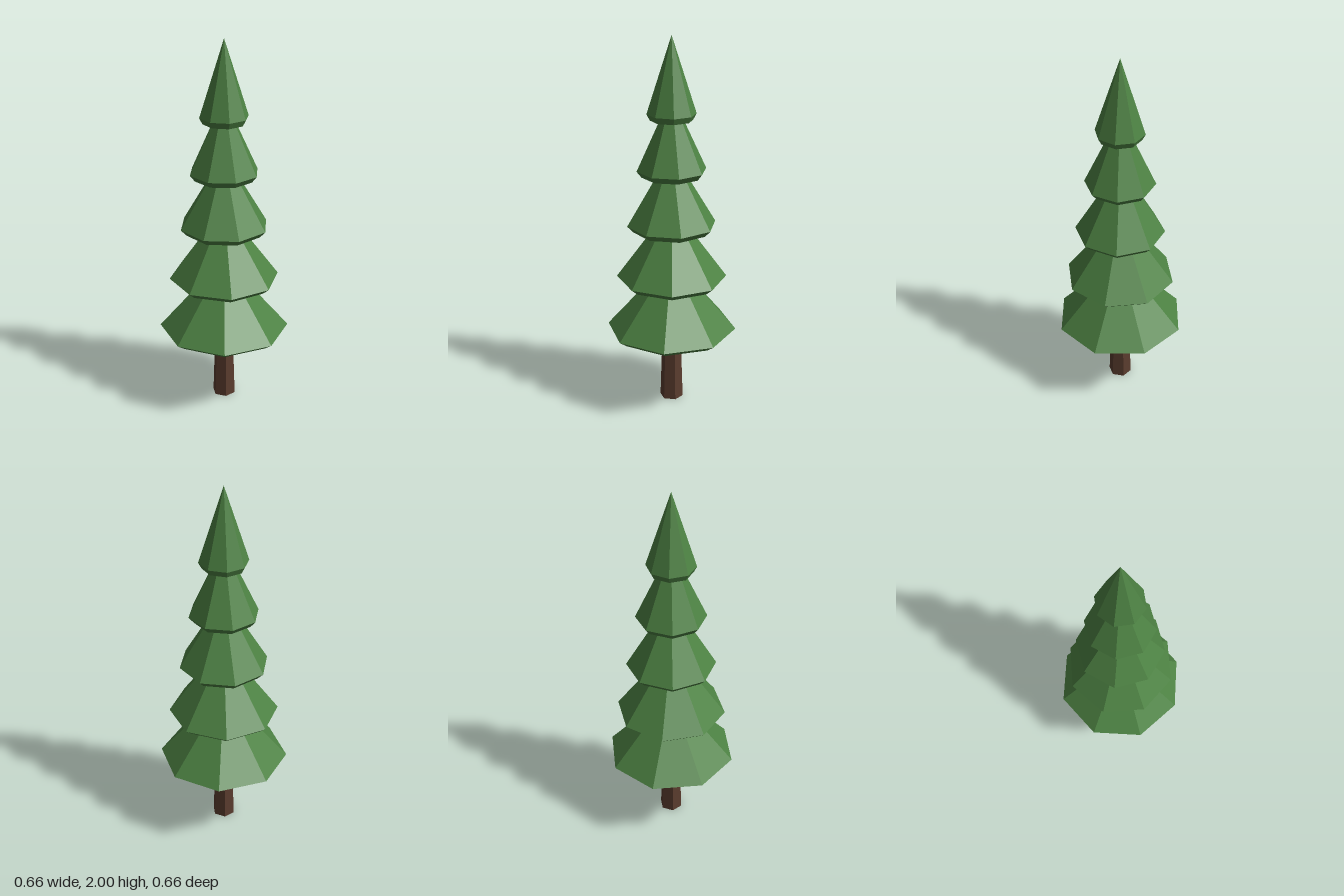
import * as THREE from 'three';

const foliage = new THREE.MeshStandardMaterial({ color: 0x4d8243, flatShading: true });
foliage.name = 'leaf green';
const bark = new THREE.MeshStandardMaterial({ color: 0x5a3c2e, flatShading: true });
bark.name = 'bark brown';

// rim radius, underside radius, height of underside, twist in degrees
const TIERS = [
  [0.348, 0.302, 0.39, 19.4],
  [0.293, 0.254, 0.685, 26.5],
  [0.237, 0.206, 0.98, 37.8],
  [0.184, 0.158, 1.275, 37.8],
  [0.128, 0.111, 1.57, 31.2],
];

export function createModel() {
  const tree = new THREE.Group();
  tree.name = 'pineTree';

  // Tapered six-sided trunk, reaching just inside the lowest tier
  const trunk = new THREE.Mesh(new THREE.CylinderGeometry(0.05, 0.063, 0.4, 6, 1, false, Math.PI / 6), bark);
  trunk.name = 'trunk';
  trunk.position.y = 0.2;
  tree.add(trunk);

  // Eight-sided cones with a bevelled rim, each twisted differently
  TIERS.forEach(([rim, under, y, twist], i) => {
    const profile = [[0, 0], [under, 0], [rim, 0.033], [0, 0.43]].map(([r, h]) => new THREE.Vector2(r, h));
    const tier = new THREE.Mesh(
      new THREE.LatheGeometry(profile, 8, THREE.MathUtils.degToRad(twist)), foliage);
    tier.name = `foliageTier${i + 1}`;
    tier.position.y = y;
    tree.add(tier);
  });

  return tree;
}
